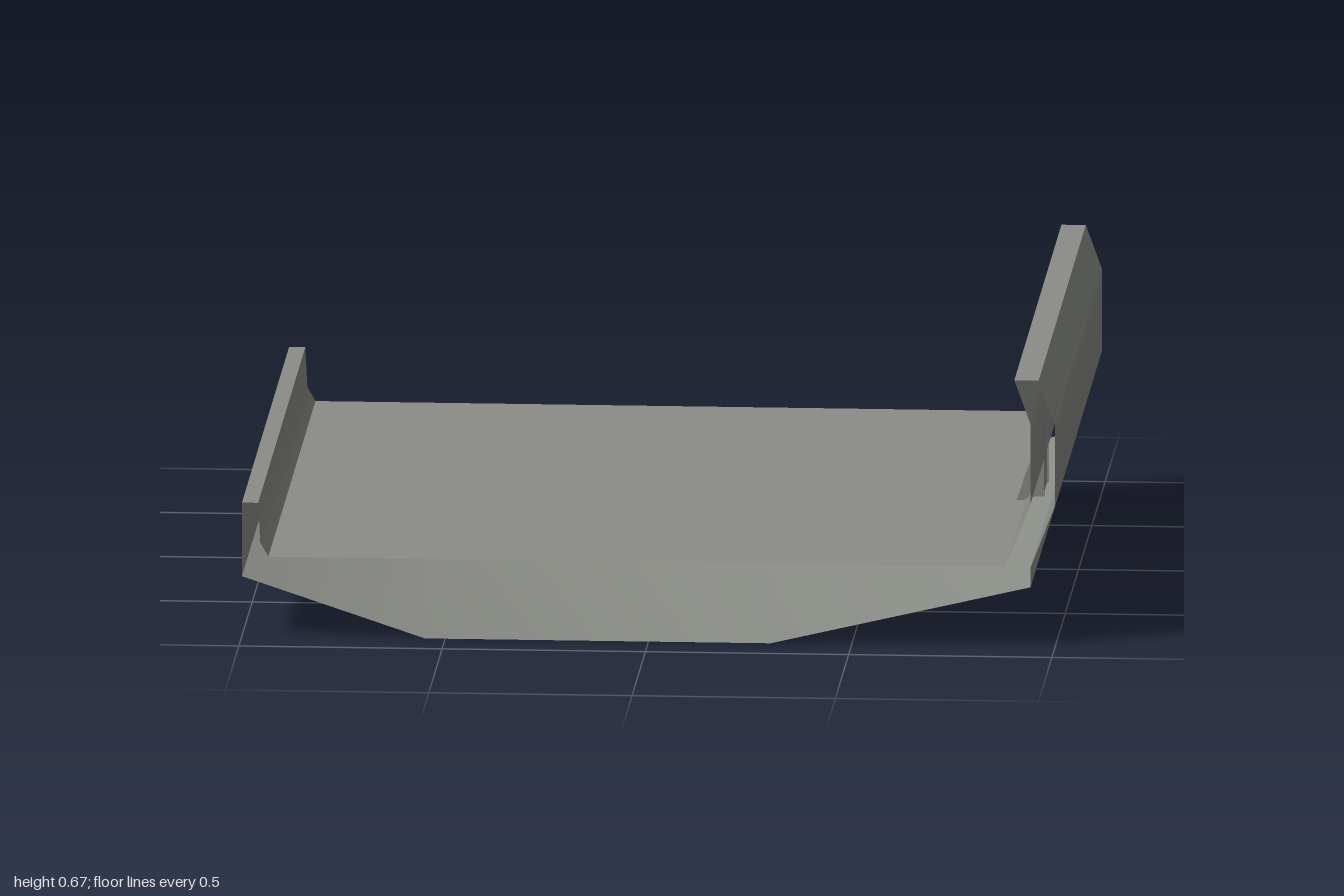
import * as THREE from 'three';

const HALF = 0.885; // half length along z

export function createModel() {
  const group = new THREE.Group();
  const grey = new THREE.MeshStandardMaterial({ color: 0x8b8d87, side: THREE.DoubleSide });
  grey.name = 'warm grey';

  const add = (name, geometry, parent = group) => {
    const mesh = new THREE.Mesh(geometry, grey);
    mesh.name = name;
    parent.add(mesh);
    return mesh;
  };

  // Sheet: a run of [x, y] points drawn out along z, smooth along the run
  const sheet = (name, points, z0 = -HALF, z1 = HALF, parent = group) => {
    const pos = [], index = [];
    points.forEach(([x, y], i) => {
      pos.push(x, y, z0, x, y, z1);
      if (i) {
        const a = 2 * i - 2;
        index.push(a, a + 2, a + 3, a, a + 3, a + 1);
      }
    });
    const g = new THREE.BufferGeometry();
    g.setAttribute('position', new THREE.Float32BufferAttribute(pos, 3));
    g.setIndex(index);
    g.computeVertexNormals();
    return add(name, g, parent);
  };

  // Solid bar: an [x, y] outline drawn out along z
  const bar = (name, points, z0, z1, parent) => {
    const shape = new THREE.Shape(points.map(([x, y]) => new THREE.Vector2(x, y)));
    const g = new THREE.ExtrudeGeometry(shape, { depth: z1 - z0, bevelEnabled: false });
    g.translate(0, 0, z0);
    return add(name, g, parent);
  };

  // Hull underside and floor, open at both ends
  sheet('underside', [[-1, 0.15], [-0.55, 0], [0.3, 0], [0.94, 0.15]]);
  sheet('floor', [[0.877, 0.2], [-0.935, 0.2]]);

  // Tall wall
  sheet('tallWallSill', [[0.94, 0.15], [0.94, 0.2]]);
  sheet('tallWallOuter', [[0.94, 0.2], [1, 0.355], [1, 0.56]]);
  sheet('tallWallOuterBevel', [[1, 0.56], [0.96, 0.67]]);
  sheet('tallWallRim', [[0.96, 0.67], [0.9, 0.67]]);
  sheet('tallWallInnerBevel', [[0.9, 0.67], [0.94, 0.56]]);

  // Inner face of the tall wall, with a gap where the pocket cuts in
  const top = [0.94, 0.56], bend = [0.94, 0.36], foot = [0.877, 0.2];
  const p0 = 0.18, p1 = 0.35, w = 0.018; // pocket frame ends and bar width
  sheet('tallWallInner', [top, bend, foot], -HALF, p0 + w);
  sheet('tallWallInner', [top, bend, foot], p1 - w, HALF);
  sheet('tallWallInnerAbovePocket', [top, bend], p0 + w, p1 - w);
  sheet('tallWallInnerBelowPocket', [[0.901, 0.26], foot], p0 + w, p1 - w);

  // Low wall
  sheet('lowWallInner', [[-0.935, 0.2], [-0.955, 0.235], [-0.96, 0.335]]);
  sheet('lowWallRim', [[-0.96, 0.335], [-1, 0.335]]);
  sheet('lowWallOuter', [[-1, 0.335], [-1, 0.15]]);

  // Framed pocket on the inside of the tall wall
  const pocket = new THREE.Group();
  pocket.name = 'wallPocket';
  group.add(pocket);
  const side = [[0.87, 0.25], [0.89, 0.25], [0.895, 0.26], [0.938, 0.26], [0.938, 0.56], [0.915, 0.56], [0.915, 0.37]];
  bar('pocketSide', side, p0, p0 + w, pocket);
  bar('pocketSide', side, p1 - w, p1, pocket);
  bar('pocketTop', [[0.915, 0.543], [0.938, 0.543], [0.938, 0.56], [0.915, 0.56]], p0 + w, p1 - w, pocket);
  bar('pocketLedge', [[0.87, 0.25], [0.89, 0.25], [0.935, 0.26], [0.935, 0.264], [0.875, 0.264]], p0 + w, p1 - w, pocket);
  sheet('pocketBack', [[0.935, 0.543], [0.935, 0.26]], p0 + w, p1 - w, pocket);

  return group;
}
